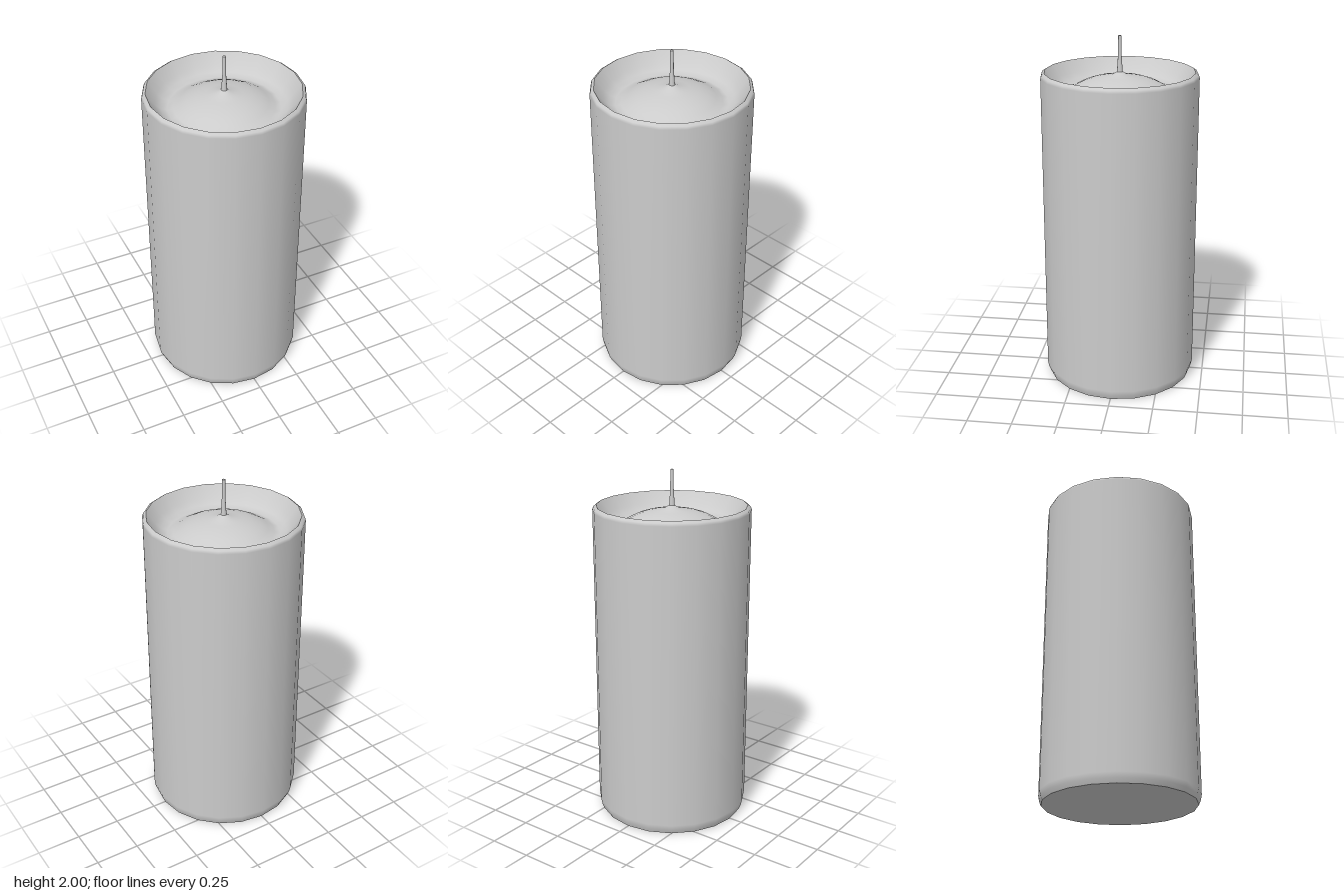
import * as THREE from 'three';

const SIDES = 20;
const material = new THREE.MeshStandardMaterial({ color: 0xcccccc });

// Revolves a profile of [radius, height] pairs around the y axis
function lathe(name, profile, sides = SIDES) {
  const points = profile.map(([r, y]) => new THREE.Vector2(r, y));
  const mesh = new THREE.Mesh(new THREE.LatheGeometry(points, sides), material);
  mesh.name = name;
  return mesh;
}

export function createModel() {
  const group = new THREE.Group();
  group.name = 'candle';

  // Wax body: separate profiles keep the edges between them sharp
  const body = new THREE.Group();
  body.name = 'waxBody';
  body.add(
    lathe('base', [[0, 0], [0.422, 0]]),
    lathe('side', [[0.422, 0], [0.432, 0.025], [0.438, 0.055], [0.438, 1.78], [0.433, 1.795], [0.417, 1.806]]),
    // Melted hollow with a soft mound rising to the wick
    lathe('meltedTop', [
      [0.417, 1.806], [0.4, 1.781], [0.37, 1.741], [0.34, 1.713], [0.305, 1.7],
      [0.275, 1.707], [0.24, 1.727], [0.2, 1.747], [0.15, 1.764], [0.1, 1.775],
      [0.043, 1.786], [0.015, 1.803],
    ]),
  );
  group.add(body);

  // Wick: flared at the foot, thin and straight above
  const wick = new THREE.Group();
  wick.name = 'wick';
  wick.add(
    lathe('wickStem', [[0.018, 1.79], [0.015, 1.815], [0.01, 1.895], [0.009, 2]], 10),
    lathe('wickTip', [[0.009, 2], [0, 2]], 10),
  );
  group.add(wick);

  return group;
}
